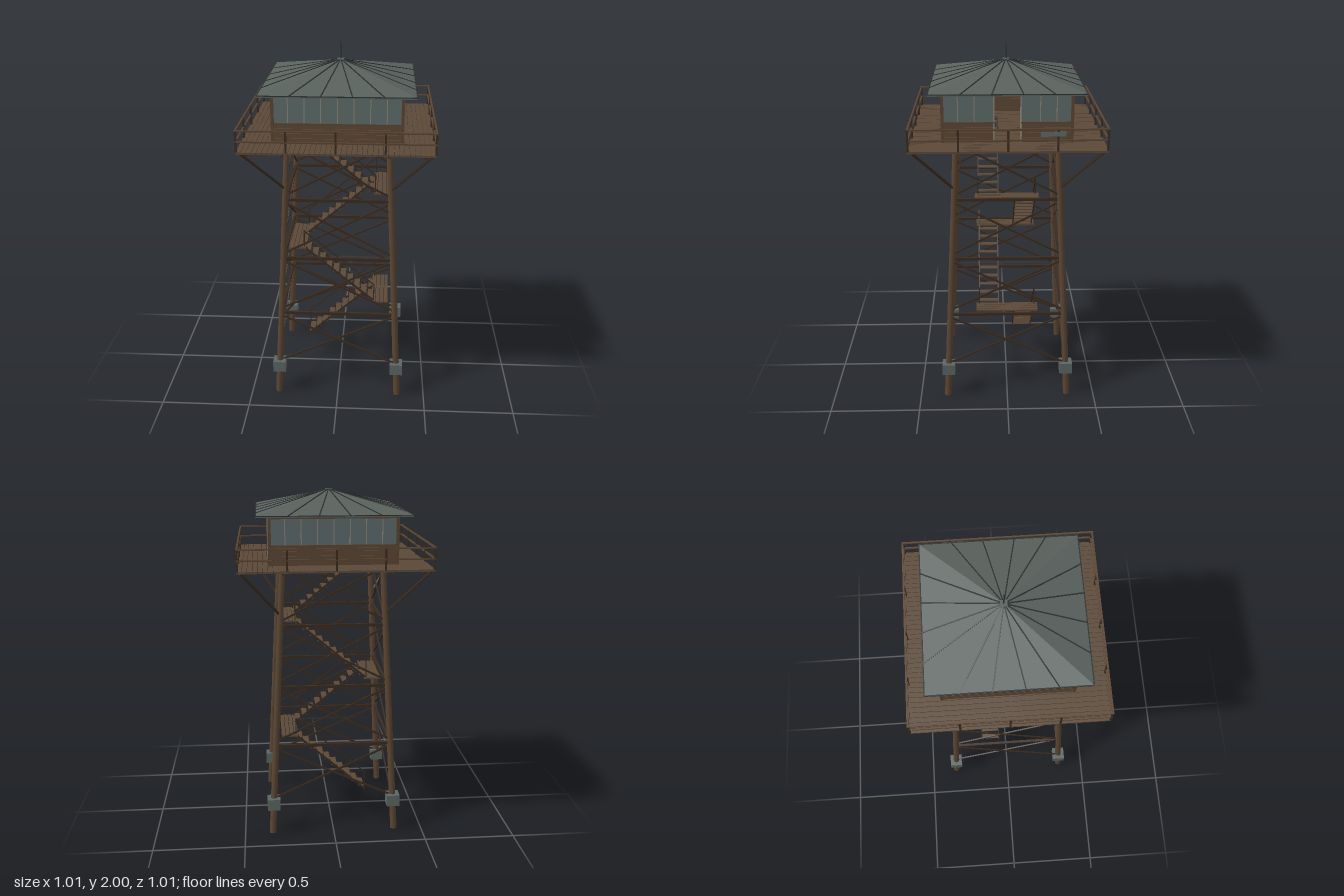
import * as THREE from 'three';

const mat = (name, color) => {
  const m = new THREE.MeshStandardMaterial({ color });
  m.name = name;
  return m;
};

export function createModel() {
  const timber = mat('timber', 0x5a4532);
  const dark = mat('darkTimber', 0x3a2b20);
  const plankMat = mat('plank', 0x5b4938);
  const siding = mat('siding', 0x5c4734);
  const roofMat = mat('roofMetal', 0x59615d);
  const ribMat = mat('roofSeam', 0x2c3230);
  const glass = mat('glass', 0x5e6b6a);
  const trim = mat('trim', 0x8b8474);
  const concrete = mat('footing', 0x5b6664);
  const root = new THREE.Group();
  root.name = 'lookoutTower';
  const V = (x, y, z) => new THREE.Vector3(x, y, z);
  const UP = V(0, 1, 0);

  const group = (name, parent = root) => {
    const g = new THREE.Group();
    g.name = name;
    parent.add(g);
    return g;
  };
  const add = (parent, name, geo, material, x = 0, y = 0, z = 0) => {
    const m = new THREE.Mesh(geo, material);
    m.name = name;
    m.position.set(x, y, z);
    parent.add(m);
    return m;
  };
  const box = (parent, name, w, h, d, material, x, y, z) =>
    add(parent, name, new THREE.BoxGeometry(w, h, d), material, x, y, z);
  // Square bar running from a to b, in the parent's own frame
  const beam = (parent, name, a, b, w, h, material) => {
    const m = box(parent, name, w, h, a.distanceTo(b), material, 0, 0, 0);
    m.position.copy(a).add(b).multiplyScalar(0.5);
    m.quaternion.setFromRotationMatrix(new THREE.Matrix4().lookAt(b, a, UP));
  };
  const legX = (y) => 0.345 - (0.075 * y) / 1.51;

  // Legs, footings and the corner struts under the deck
  const frame = group('frame');
  for (const sx of [-1, 1]) for (const sz of [-1, 1]) {
    const a = V(sx * legX(0), 0, sz * legX(0));
    const b = V(sx * legX(1.51), 1.51, sz * legX(1.51));
    const leg = add(frame, 'leg', new THREE.CylinderGeometry(0.0165, 0.0185, a.distanceTo(b), 12), timber);
    leg.position.copy(a).add(b).multiplyScalar(0.5);
    leg.quaternion.setFromUnitVectors(UP, b.clone().sub(a).normalize());
    const f = legX(0.177);
    box(frame, 'footing', 0.072, 0.064, 0.072, concrete, sx * f, 0.177, sz * f);
    beam(frame, 'cornerStrut', V(sx * 0.283, 1.245, sz * 0.283), V(sx * 0.485, 1.508, sz * 0.485), 0.011, 0.011, dark);
  }

  // Girts and cross braces on the four faces
  const levels = [0.2, 0.51, 0.845, 1.185, 1.51];
  for (let side = 0; side < 4; side++) {
    const face = group('bracedFace', frame);
    face.rotation.y = (side * Math.PI) / 2;
    for (let i = 0; i < 4; i++) {
      const y0 = levels[i] + (i ? 0.025 : 0), y1 = levels[i + 1] - 0.015;
      const p = legX(y0), q = legX(y1);
      for (const s of [-1, 1])
        beam(face, 'crossBrace', V(s * p, y0, p + s * 0.005), V(-s * q, y1, q + s * 0.005), 0.008, 0.01, dark);
      if (i > 0) {
        const x = legX(levels[i]);
        box(face, 'girt', 2 * x, 0.016, 0.014, dark, 0, levels[i], x);
      }
    }
  }

  // Deck planks, left open above the top flight of stairs
  const deck = group('deck');
  const edge = 0.506, count = 38, pitch = (edge * 2) / count;
  for (let i = 0; i < count; i++) {
    const x = -edge + pitch * (i + 0.5);
    for (const [z0, z1] of [[-edge, 0.042], [0.042, 0.155], [0.155, edge]]) {
      if (z0 === 0.042 && x > -0.22 && x < 0.1) continue;
      box(deck, 'deckPlank', pitch - 0.0022, 0.011, z1 - z0, plankMat, x, 1.515, (z0 + z1) / 2);
    }
  }
  for (const x of [-0.45, -0.27, 0.12, 0.27, 0.45])
    box(deck, 'joist', 0.014, 0.009, 1.0, dark, x, 1.505, 0);

  // Railing
  for (let side = 0; side < 4; side++) {
    const rail = group('railing');
    rail.rotation.y = (side * Math.PI) / 2;
    for (const y of [1.575, 1.631]) box(rail, 'rail', edge * 2, 0.008, 0.009, timber, 0, y, 0.5015);
    for (const x of [-0.501, -0.25, 0, 0.25])
      box(rail, 'railPost', 0.01, 0.115, 0.01, dark, x, 1.576, 0.501);
  }
  box(root, 'railPanel', 0.005, 0.024, 0.125, glass, 0.5055, 1.608, -0.225);

  // Stair flights, zigzagging between two lanes
  const flights = [0.16, 0.51, 0.845, 1.185, 1.515];
  for (let i = 0; i < 4; i++) {
    const stair = group('stairFlight');
    const s = i % 2 ? -1 : 1;
    const zc = i % 2 ? 0.102 : -0.102;
    const y0 = flights[i], y1 = flights[i + 1];
    for (const dz of [-0.055, 0.055])
      beam(stair, 'stringer', V(-s * 0.2, y0, zc + dz), V(s * 0.2, y1, zc + dz), 0.007, 0.01, dark);
    for (let k = 0; k < 10; k++) {
      const t = (k + 0.5) / 10;
      box(stair, 'tread', 0.032, 0.006, 0.108, plankMat, s * (-0.2 + 0.4 * t), y0 + (y1 - y0) * t, zc);
    }
    // Handrail on the outer side
    const zr = zc + Math.sign(zc) * 0.055;
    beam(stair, 'handrail', V(-s * 0.2, y0 + 0.105, zr), V(s * 0.2, y1 + 0.1, zr), 0.006, 0.006, dark);
    for (const [x, y] of [[-s * 0.2, y0], [s * 0.2, y1]])
      box(stair, 'handrailPost', 0.006, 0.105, 0.006, dark, x, y + 0.0525, zr);
    if (i === 3) continue;
    // Landing at the head of the flight
    const landing = group('landing');
    for (let k = 0; k < 4; k++)
      box(landing, 'landingPlank', 0.021, 0.009, 0.35, plankMat, s * (0.2 + k * 0.024), y1, 0);
    for (const z of [-0.14, 0.14])
      box(landing, 'landingBearer', 0.1, 0.008, 0.01, dark, s * 0.235, y1 - 0.008, z);
  }

  // Cabin: siding below, windows above, doorway on the +x side
  const half = 0.34, door = 0.07, sill = 1.625, head = 1.778, floor = 1.521;
  const midY = (head + floor) / 2, fullH = head - floor;
  for (let side = 0; side < 4; side++) {
    const wall = group('cabinWall');
    wall.rotation.y = (side * Math.PI) / 2;
    const spans = side === 1 ? [[-half, -door], [door, half]] : [[-half, half]];
    for (const [a, b] of spans) {
      const c = (a + b) / 2, w = b - a, bh = (sill - floor) / 4;
      for (let k = 0; k < 4; k++)
        box(wall, 'sidingBoard', w, bh - 0.002, 0.012, siding, c, floor + bh * (k + 0.5), half - 0.006);
      box(wall, 'sidingBacking', w, sill - floor, 0.004, siding, c, (sill + floor) / 2, half - 0.008);
      box(wall, 'windowGlass', w, head - sill, 0.005, glass, c, (head + sill) / 2, half - 0.007);
      box(wall, 'windowSill', w, 0.008, 0.018, timber, c, sill, half - 0.005);
      box(wall, 'windowHead', w, 0.012, 0.014, timber, c, head - 0.008, half - 0.005);
    }
    for (let k = 1; k < 8; k++) {
      const x = -half + (k * half) / 4;
      if (side === 1 && Math.abs(x) < 0.1) continue;
      box(wall, 'mullion', 0.005, head - sill, 0.009, trim, x, (head + sill) / 2, half - 0.005);
    }
    box(wall, 'cornerPost', 0.016, fullH, 0.016, timber, half - 0.005, midY, half - 0.005);
    if (side === 1) for (const s of [-1, 1])
      box(wall, 'doorJamb', 0.008, fullH, 0.018, trim, s * door, midY, half - 0.005);
  }

  // Pyramid roof with eaves, raised seams, cap and mast
  const eave = 0.405, y0 = 1.785, y1 = 1.892;
  const roof = group('roof');
  const pyramid = new THREE.ConeGeometry(eave * Math.SQRT2, y1 - y0, 4, 1, true).toNonIndexed();
  pyramid.rotateY(Math.PI / 4);
  pyramid.computeVertexNormals();
  add(roof, 'roofSlopes', pyramid, roofMat, 0, (y0 + y1) / 2, 0);
  box(roof, 'eaves', eave * 2, 0.008, eave * 2, roofMat, 0, y0 - 0.004, 0);
  for (let side = 0; side < 4; side++) {
    const seams = group('roofSeams', roof);
    seams.rotation.y = (side * Math.PI) / 2;
    for (const x of [-0.24, -0.08, 0.08, 0.24])
      beam(seams, 'seam', V(x, y0 + 0.001, eave - 0.001), V(0, y1 + 0.001, 0), 0.006, 0.005, ribMat);
    box(seams, 'eaveEdge', eave * 2, 0.004, 0.006, ribMat, 0, y0, eave - 0.002);
  }
  box(roof, 'roofCap', 0.036, 0.008, 0.036, roofMat, 0, y1, 0);
  add(roof, 'mast', new THREE.CylinderGeometry(0.002, 0.003, 0.11, 8), ribMat, 0, 1.945, 0);

  return root;
}
